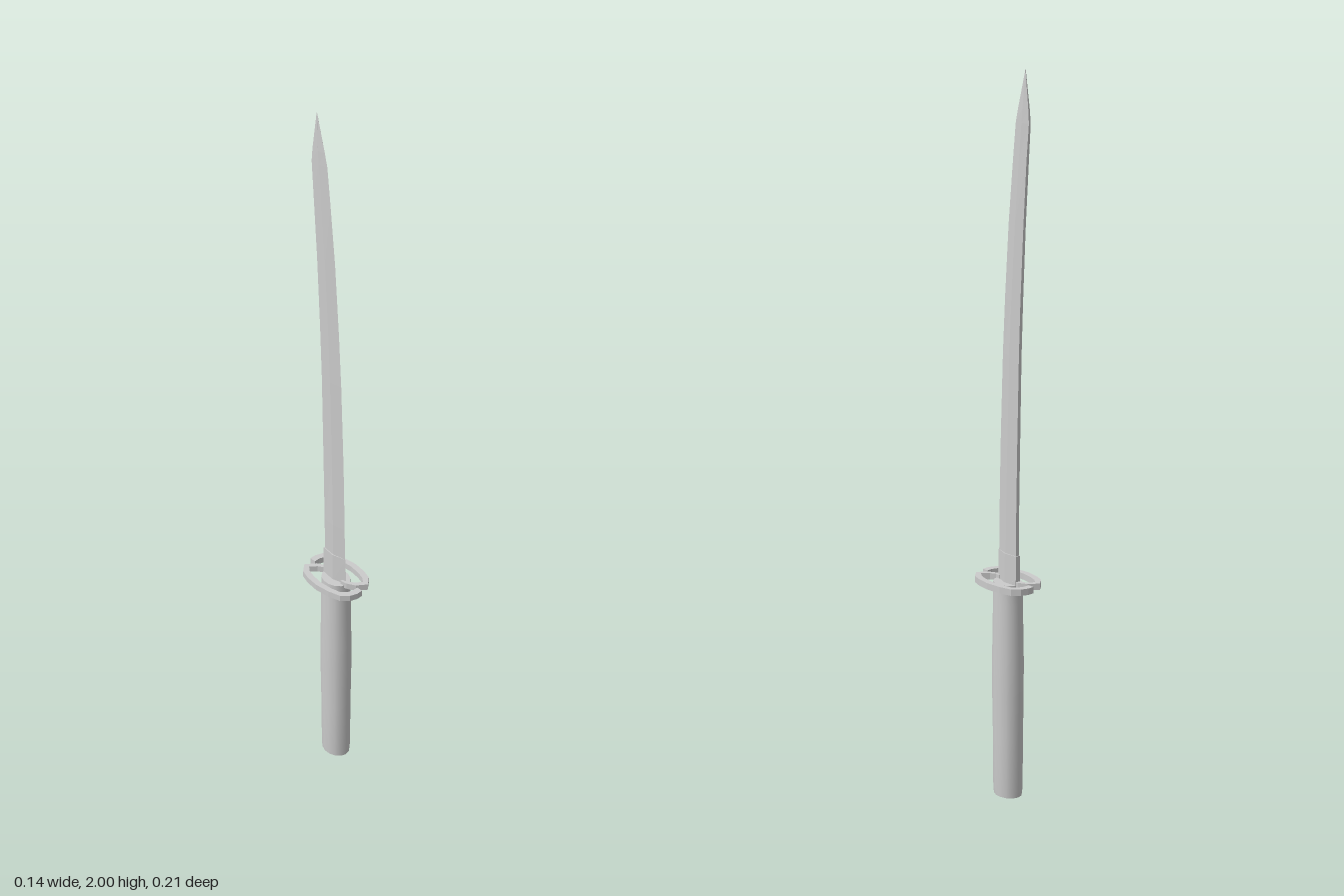
import * as THREE from 'three';
import { toCreasedNormals } from 'three/addons/utils/BufferGeometryUtils.js';

const material = () => new THREE.MeshStandardMaterial({ color: 0xcccccc });

function part(name, geometry) {
  const mesh = new THREE.Mesh(geometry, material());
  mesh.name = name;
  return mesh;
}

// Five-sided blade section: sharp edge at +z, ridges in the middle, flat spine at -z
function section([y, edgeZ, spineZ, ridge, spine]) {
  const mid = edgeZ * 0.5 + spineZ * 0.5;
  return [
    [0, y, edgeZ], [ridge, y, mid], [spine, y, spineZ], [-spine, y, spineZ], [-ridge, y, mid],
  ];
}

// Flat-faced skin through a list of sections, capped at both ends
function loft(rows) {
  const rings = rows.map(section);
  const n = rings[0].length;
  const pos = [];
  const tri = (a, b, c) => pos.push(...a, ...b, ...c);
  for (let r = 0; r < rings.length - 1; r++) {
    const a = rings[r], b = rings[r + 1];
    for (let i = 0; i < n; i++) {
      const j = (i + 1) % n;
      tri(a[i], a[j], b[j]);
      tri(a[i], b[j], b[i]);
    }
  }
  const first = rings[0], last = rings[rings.length - 1];
  for (let i = 1; i < n - 1; i++) {
    tri(first[0], first[i + 1], first[i]);
    tri(last[0], last[i], last[i + 1]);
  }
  const geometry = new THREE.BufferGeometry();
  geometry.setAttribute('position', new THREE.Float32BufferAttribute(pos, 3));
  geometry.computeVertexNormals();
  return geometry;
}

export function createModel() {
  const model = new THREE.Group();
  model.name = 'curvedSword';

  // Grip: slightly swollen oval handle
  const profile = [
    [0, 0], [0.044, 0], [0.046, 0.02], [0.047, 0.18], [0.049, 0.3],
    [0.049, 0.4], [0.046, 0.56], [0.045, 0.62], [0, 0.62],
  ].map(([r, y]) => new THREE.Vector2(r, y));
  const grip = new THREE.LatheGeometry(profile, 14);
  grip.scale(0.81, 1, 1);
  model.add(part('grip', toCreasedNormals(grip, 0.7)));

  // Guard: two hooked flat bars, one the half-turn copy of the other (x, z outline)
  const outline = [
    [-0.005, -0.102], [0.013, -0.104], [0.035, -0.098], [0.055, -0.08], [0.066, -0.045],
    [0.072, 0], [0.068, 0.04], [0.059, 0.07], [0.036, 0.092], [0.008, 0.074],
    [-0.006, 0.05], [-0.01, 0.03], [0.005, 0.03], [0.004, 0.046], [0.014, 0.061],
    [0.033, 0.075], [0.044, 0.06], [0.051, 0.035], [0.055, 0], [0.051, -0.04],
    [0.044, -0.066], [0.03, -0.08], [0.012, -0.085], [-0.005, -0.083],
  ];
  const shape = new THREE.Shape(outline.map(([x, z]) => new THREE.Vector2(x, -z)));
  const bar = new THREE.ExtrudeGeometry(shape, { depth: 0.018, bevelEnabled: false });
  bar.rotateX(-Math.PI / 2);
  bar.translate(0, 0.612, 0);
  for (const [name, turn] of [['guardLeft', 0], ['guardRight', Math.PI]]) {
    const mesh = part(name, bar);
    mesh.rotation.y = turn;
    model.add(mesh);
  }

  // Collar holding the blade root
  model.add(part('collar', loft([
    [0.61, 0.042, -0.043, 0.013, 0.008],
    [0.702, 0.04, -0.043, 0.012, 0.007],
  ])));

  // Blade: y, edge z, spine z, half width at ridge, half width at spine
  model.add(part('blade', loft([
    [0.65, 0.038, -0.04, 0.009, 0.005],
    [0.8, 0.036, -0.041, 0.009, 0.005],
    [1.0, 0.031, -0.045, 0.008, 0.005],
    [1.25, 0.021, -0.051, 0.0075, 0.0045],
    [1.4, 0.012, -0.057, 0.007, 0.0045],
    [1.6, -0.003, -0.068, 0.006, 0.004],
    [1.77, -0.021, -0.08, 0.005, 0.004],
    [1.865, -0.032, -0.088, 0.0045, 0.003],
    [1.9, -0.041, -0.085, 0.004, 0.0025],
    [2.0, -0.07, -0.071, 0.0005, 0.0005],
  ])));

  return model;
}
